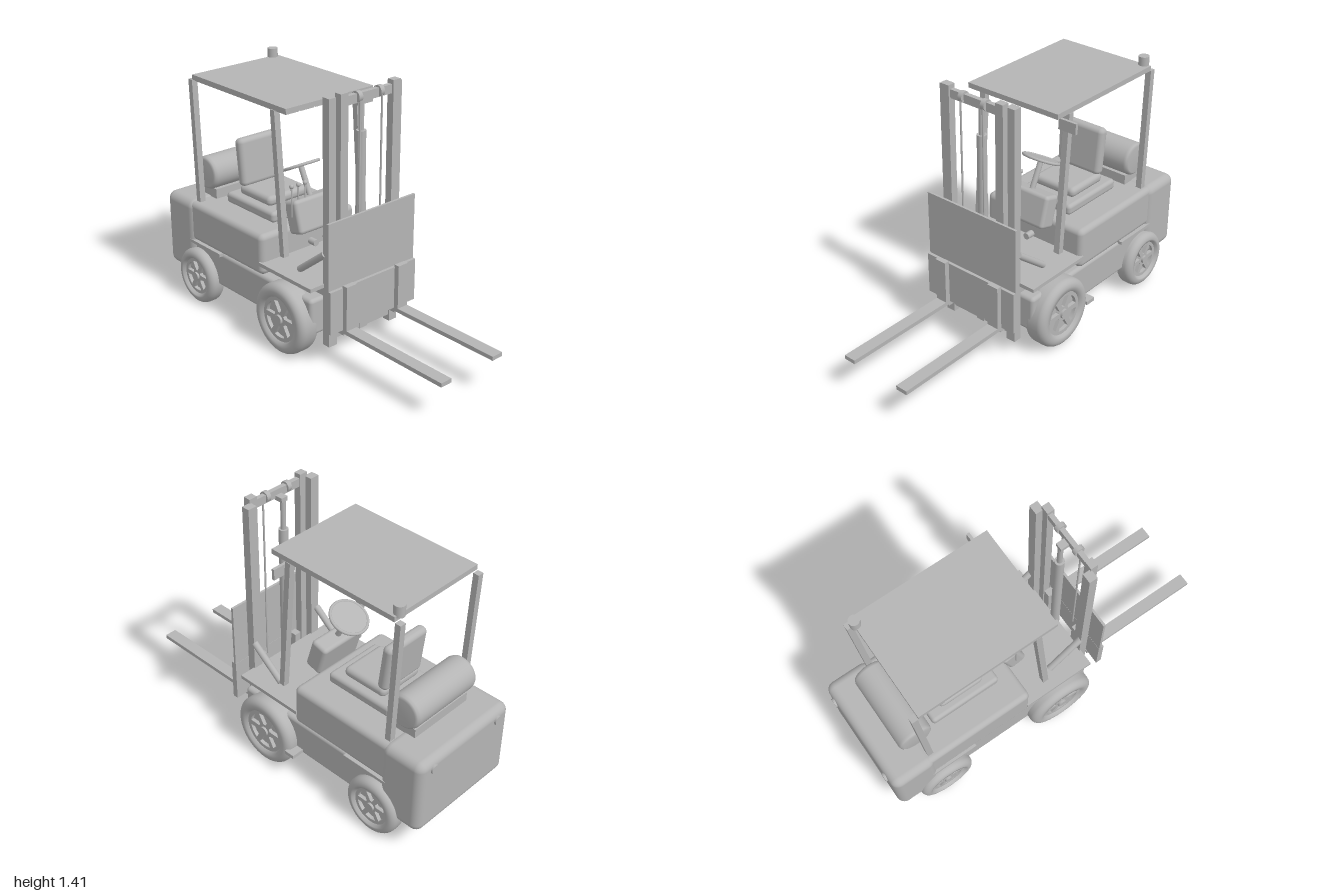
import * as THREE from 'three';
import { RoundedBoxGeometry } from 'three/addons/geometries/RoundedBoxGeometry.js';

export function createModel() {
  const model = new THREE.Group();
  const grey = new THREE.MeshStandardMaterial({ color: 0xb4b4b4 });
  grey.name = 'light grey';

  const add = (name, geometry, x = 0, y = 0, z = 0, parent = model) => {
    const mesh = new THREE.Mesh(geometry, grey);
    mesh.name = name;
    mesh.position.set(x, y, z);
    parent.add(mesh);
    return mesh;
  };
  // Boxes given by their limits on each axis
  const box = (name, x0, x1, y0, y1, z0, z1) =>
    add(name, new THREE.BoxGeometry(x1 - x0, y1 - y0, z1 - z0), (x0 + x1) / 2, (y0 + y1) / 2, (z0 + z1) / 2);
  const softBox = (name, x0, x1, y0, y1, z0, z1, r) =>
    add(name, new RoundedBoxGeometry(x1 - x0, y1 - y0, z1 - z0, 4, r), (x0 + x1) / 2, (y0 + y1) / 2, (z0 + z1) / 2);
  // Straight members between two points
  const span = (name, a, b, makeGeometry) => {
    const p = new THREE.Vector3(...a), q = new THREE.Vector3(...b);
    const d = q.clone().sub(p);
    const mesh = add(name, makeGeometry(d.length()), ...p.clone().add(q).multiplyScalar(0.5).toArray());
    mesh.quaternion.setFromUnitVectors(new THREE.Vector3(0, 1, 0), d.normalize());
    return mesh;
  };
  const rod = (name, a, b, r) => span(name, a, b, (l) => new THREE.CylinderGeometry(r, r, l, 20));
  const post = (name, a, b, w, t) => span(name, a, b, (l) => new THREE.BoxGeometry(w, l, t));
  const sides = [-1, 1];

  // Body
  softBox('counterweight', -0.99, -0.74, 0.155, 0.585, -0.33, 0.33, 0.045);
  softBox('hood', -0.80, -0.16, 0.355, 0.58, -0.32, 0.32, 0.03);
  softBox('chassis', -0.80, 0.21, 0.155, 0.355, -0.31, 0.31, 0.02);
  box('floorSupport', -0.2, 0.2, 0.34, 0.415, -0.22, 0.22);
  box('floorPlate', -0.18, 0.225, 0.412, 0.432, -0.325, 0.325);
  for (const s of sides) {
    box('sideStrip', -0.78, -0.51, 0.343, 0.36, s * 0.315 - 0.015, s * 0.315 + 0.015);
    rod('rearLamp', [-1, 0.53, s * 0.235], [-0.96, 0.53, s * 0.235], 0.025);
  }
  box('step', -0.21, -0.15, 0.165, 0.185, -0.38, -0.29);

  // Wheels: lathed tyre, spoked rim and hub
  const wheel = (name, x, y, z, R, r, w, dir) => {
    const g = new THREE.Group();
    g.name = name;
    g.position.set(x, y, z);
    if (dir < 0) g.rotation.y = Math.PI;
    model.add(g);
    const h = w / 2, c = Math.min(0.038, h * 0.7);
    const profile = [new THREE.Vector2(r, -h + 0.02), new THREE.Vector2(r + 0.012, -h)];
    for (let i = 0; i <= 6; i++) {
      const a = -Math.PI / 2 + (i / 6) * Math.PI / 2;
      profile.push(new THREE.Vector2(R - c + c * Math.cos(a), -h + c + c * Math.sin(a)));
    }
    for (let i = 0; i <= 6; i++) {
      const a = (i / 6) * Math.PI / 2;
      profile.push(new THREE.Vector2(R - c + c * Math.cos(a), h - c + c * Math.sin(a)));
    }
    profile.push(new THREE.Vector2(r + 0.012, h), new THREE.Vector2(r, h - 0.02));
    add('tyre', new THREE.LatheGeometry(profile, 48).rotateX(Math.PI / 2), 0, 0, 0, g);
    const face = new THREE.Shape().absarc(0, 0, r + 0.006, 0, Math.PI * 2);
    for (let i = 0; i < 6; i++) {
      const a = (i * Math.PI) / 3, o = 0.14, n = 0.36;
      const hole = new THREE.Path();
      hole.absarc(0, 0, r * 0.85, a + o, a + Math.PI / 3 - o, false);
      hole.absarc(0, 0, r * 0.34, a + Math.PI / 3 - n, a + n, true);
      hole.closePath();
      face.holes.push(hole);
    }
    add('rim', new THREE.ExtrudeGeometry(face, { depth: 0.02, bevelEnabled: false, curveSegments: 24 }), 0, 0, h - 0.036, g);
    add('rimBack', new THREE.CylinderGeometry(r + 0.005, r + 0.005, w - 0.06, 32).rotateX(Math.PI / 2), 0, 0, -0.01, g);
    add('hub', new THREE.CylinderGeometry(r * 0.22, r * 0.22, 0.02, 20).rotateX(Math.PI / 2), 0, 0, h - 0.014, g);
  };
  for (const s of sides) {
    wheel('frontWheel', 0.022, 0.197, s * 0.311, 0.191, 0.12, 0.128, s);
    wheel('rearWheel', -0.71, 0.163, s * 0.31, 0.157, 0.1, 0.1, s);
  }

  // Seat
  softBox('seatBase', -0.65, -0.25, 0.575, 0.635, -0.17, 0.17, 0.02);
  softBox('seatCushion', -0.58, -0.32, 0.635, 0.69, -0.135, 0.135, 0.025);
  const back = softBox('seatBack', -0.605, -0.545, 0.68, 0.945, -0.135, 0.135, 0.026);
  back.position.x = -0.573;
  back.rotation.z = 0.11;

  // Gas tank on its cradle
  const tank = [[0, -0.218], [0.075, -0.218], [0.087, -0.21], [0.092, -0.195], [0.092, 0.195], [0.087, 0.21], [0.075, 0.218], [0, 0.218]]
    .map((p) => new THREE.Vector2(...p));
  add('gasTank', new THREE.LatheGeometry(tank, 40).rotateX(Math.PI / 2), -0.77, 0.72, 0);
  box('tankCradle', -0.83, -0.71, 0.58, 0.635, -0.19, 0.19);

  // Dashboard, steering, levers and pedals
  const dash = softBox('dashboard', -0.18, -0.08, 0.55, 0.73, -0.14, 0.14, 0.02);
  dash.rotation.z = 0.28;
  rod('steeringColumn', [-0.222, 0.865, 0], [-0.135, 0.69, 0], 0.015);
  const steering = new THREE.Group();
  steering.name = 'steeringWheel';
  steering.position.set(-0.225, 0.868, 0);
  steering.rotation.z = 0.46;
  model.add(steering);
  add('steeringDisc', new THREE.CylinderGeometry(0.098, 0.098, 0.008, 36), 0, 0, 0, steering);
  add('steeringRing', new THREE.TorusGeometry(0.098, 0.008, 10, 40).rotateX(Math.PI / 2), 0, 0, 0, steering);
  for (const z of [0.055, 0.1, 0.145]) {
    rod('lever', [-0.125, 0.65, z], [-0.125, 0.81, z], 0.004);
    add('leverKnob', new THREE.SphereGeometry(0.012, 16, 12), -0.125, 0.817, z);
  }
  for (const s of sides) rod('pedal', [-0.09, 0.503, s * 0.05], [-0.045, 0.503, s * 0.05], 0.018);

  // Overhead guard
  box('roof', -0.75, 0.01, 1.265, 1.292, -0.285, 0.285);
  for (let i = 0; i < 6; i++) {
    const z = -0.235 + i * 0.094;
    box('roofSlat', -0.74, 0, 1.258, 1.266, z - 0.041, z + 0.041);
  }
  for (const s of sides) {
    post('rearPost', [-0.742, 0.5, s * 0.268], [-0.77, 1.262, s * 0.268], 0.032, 0.034);
    post('frontPost', [-0.038, 0.5, s * 0.268], [-0.095, 1.262, s * 0.268], 0.032, 0.034);
  }
  rod('beacon', [-0.742, 1.28, -0.245], [-0.742, 1.34, -0.245], 0.028);
  box('mirror', -0.068, -0.052, 1.18, 1.238, -0.345, -0.24);

  // Mast
  for (const s of sides) {
    const z = (a, b) => (s > 0 ? [a, b] : [-b, -a]);
    box('outerRail', 0.217, 0.262, 0.09, 1.39, ...z(0.182, 0.235));
    box('innerRail', 0.255, 0.295, 0.18, 1.412, ...z(0.145, 0.192));
    rod('tiltCylinder', [0.03, 0.44, s * 0.225], [0.222, 0.59, s * 0.225], 0.018);
    rod('chainPulley', [0.275, 1.373, s * 0.07 - 0.012], [0.275, 1.373, s * 0.07 + 0.012], 0.028);
    rod('liftChain', [0.295, 1.37, s * 0.07], [0.295, 0.4, s * 0.07], 0.005);
    box('fork', 0.335, 1, 0.193, 0.215, ...z(0.143, 0.21));
    box('forkShank', 0.333, 0.363, 0.193, 0.455, ...z(0.143, 0.21));
    box('forkHook', 0.3, 0.34, 0.183, 0.215, ...z(0.145, 0.21));
    box('carriageBracket', 0.262, 0.31, 0.22, 0.44, ...z(0.105, 0.145));
  }
  box('topCrossbar', 0.26, 0.285, 1.345, 1.39, -0.15, 0.15);
  box('bottomCrossbar', 0.22, 0.255, 0.125, 0.175, -0.185, 0.185);
  box('cylinderFoot', 0.205, 0.26, 0.12, 0.21, -0.025, 0.025);
  rod('liftCylinder', [0.228, 0.2, 0], [0.228, 1.18, 0], 0.025);
  rod('liftRod', [0.228, 1.18, 0], [0.228, 1.345, 0], 0.014);
  box('rodHead', 0.215, 0.265, 1.338, 1.362, -0.02, 0.02);

  // Carriage
  box('loadBackrest', 0.305, 0.318, 0.44, 0.797, -0.29, 0.29);
  box('carriagePlate', 0.304, 0.335, 0.21, 0.442, -0.29, 0.29);

  return model;
}
